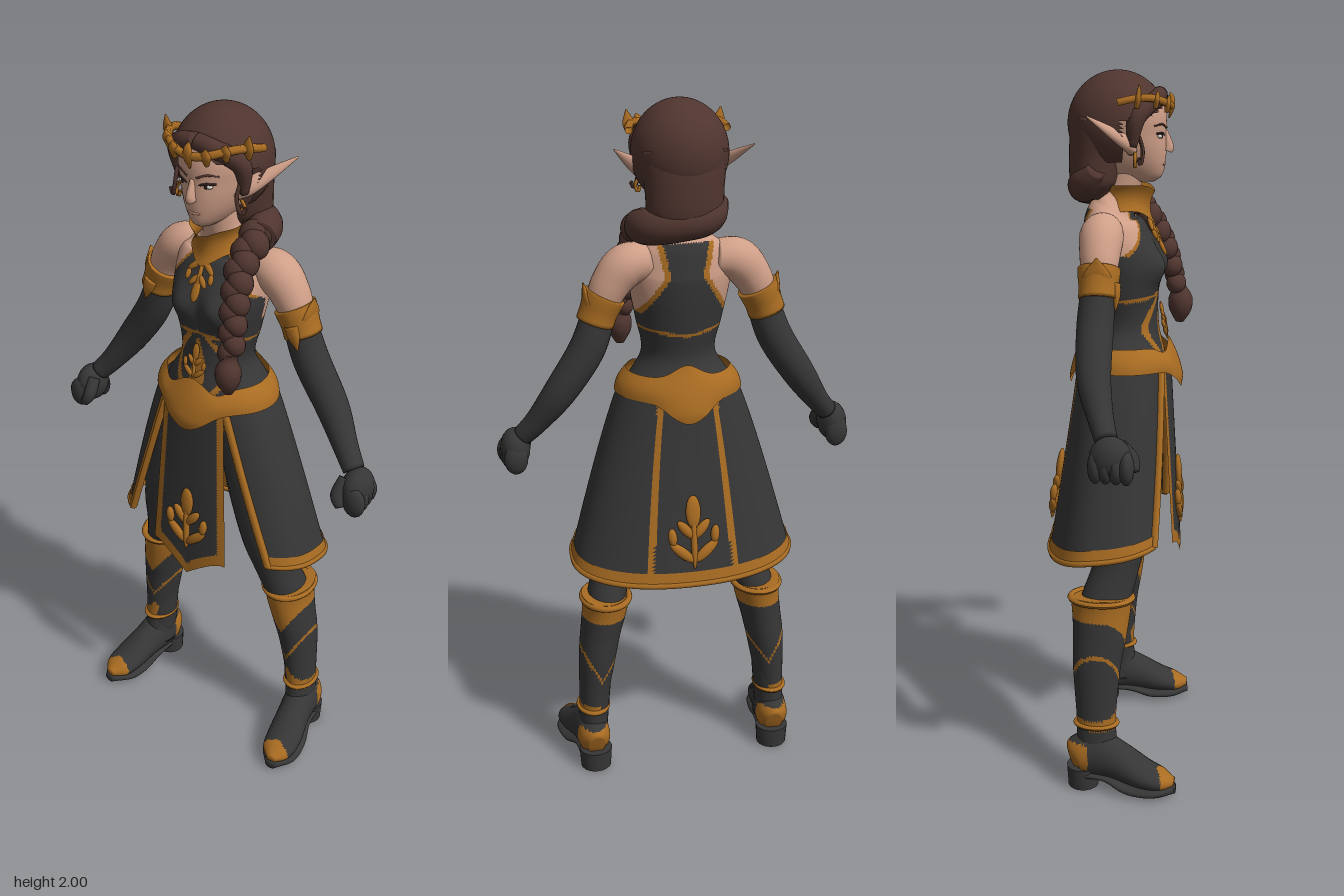
import * as THREE from 'three';
import { mergeVertices } from 'three/addons/utils/BufferGeometryUtils.js';

const V = (x, y, z) => new THREE.Vector3(x, y, z);
const mat = (name, color, side = THREE.FrontSide) => {
  const m = new THREE.MeshStandardMaterial({ color, side });
  m.name = name;
  return m;
};

// Surface from a rule fn(u, v), both 0..1
function grid(nu, nv, fn) {
  const pos = [], idx = [];
  for (let j = 0; j <= nv; j++) for (let i = 0; i <= nu; i++) pos.push(...fn(i / nu, j / nv).toArray());
  for (let j = 0; j < nv; j++) for (let i = 0; i < nu; i++) {
    const a = j * (nu + 1) + i, b = a + nu + 1;
    idx.push(a, b, a + 1, a + 1, b, b + 1);
  }
  let g = new THREE.BufferGeometry();
  g.setAttribute('position', new THREE.Float32BufferAttribute(pos, 3));
  g.setIndex(idx);
  g = mergeVertices(g, 1e-5);
  g.computeVertexNormals();
  return g;
}

// Closed oval skin along points [x, y, z, side radius, front radius]
function loft(pts, nu = 24, nv = 24, ref = V(0, 0, 1)) {
  const path = new THREE.CatmullRomCurve3(pts.map(p => V(p[0], p[1], p[2])), false, 'catmullrom');
  const radii = new THREE.CatmullRomCurve3(pts.map(p => V(p[3], p[4] ?? p[3], 0)), false, 'catmullrom');
  const rows = nv + 2;
  return grid(nu, rows, (u, v) => {
    const j = Math.round(v * rows), t = THREE.MathUtils.clamp((j - 1) / nv, 0, 1);
    const k = j === 0 || j === rows ? 0 : 1, a = (u % 1) * Math.PI * 2;
    const tan = path.getTangent(t), side = tan.clone().cross(ref).normalize();
    const front = side.clone().cross(tan), r = radii.getPoint(t);
    return path.getPoint(t).addScaledVector(side, k * r.x * Math.cos(a)).addScaledVector(front, k * r.y * Math.sin(a));
  });
}

const ball = (x, y, z, rx, ry = rx, rz = rx) => new THREE.SphereGeometry(1, 16, 10).scale(rx, ry, rz).translate(x, y, z);
const tube = (pts, r, n = 40) => new THREE.TubeGeometry(new THREE.CatmullRomCurve3(pts), n, r, 6);

// Sort faces into material groups by a rule on the face centre; -1 removes the face
function paint(g, count, rule) {
  const p = g.attributes.position, ix = g.index.array, sets = Array.from({ length: count }, () => []);
  for (let i = 0; i < ix.length; i += 3) {
    const c = V(0, 0, 0);
    for (let k = 0; k < 3; k++) c.add(V(0, 0, 0).fromBufferAttribute(p, ix[i + k]).divideScalar(3));
    const m = rule(c.x, c.y, c.z);
    if (m >= 0) sets[m].push(ix[i], ix[i + 1], ix[i + 2]);
  }
  g.setIndex(sets.flat());
  g.clearGroups();
  let s = 0;
  sets.forEach((q, m) => { g.addGroup(s, q.length, m); s += q.length; });
  return g;
}

function mirrored(geo) {
  const g = geo.clone().scale(-1, 1, 1), ix = g.index.array;
  for (let i = 0; i < ix.length; i += 3) [ix[i], ix[i + 1]] = [ix[i + 1], ix[i]];
  g.computeVertexNormals();
  return g;
}

export function createModel() {
  const root = new THREE.Group();
  const cloth = mat('charcoal cloth', 0x363636, THREE.DoubleSide), gold = mat('bronze trim', 0xa96c22, THREE.DoubleSide);
  const skin = mat('skin', 0xcf9f88), hair = mat('brown hair', 0x50352f, THREE.DoubleSide);
  const lip = mat('lips', 0xb98370), white = mat('eye white', 0xd8d0c8), dark = mat('dark lashes', 0x2a1e1c);
  const add = (name, g, m) => {
    const mesh = new THREE.Mesh(g, m);
    mesh.name = name;
    root.add(mesh);
    return mesh;
  };
  const pair = (name, g, m) => { add('left ' + name, g, m); add('right ' + name, mirrored(g), m); };
  const lerp = THREE.MathUtils.lerp, clamp = THREE.MathUtils.clamp;

  // Torso with halter bodice, racer back and corset lines
  const torso = loft([[0, 1.05, 0, .17, .11], [0, 1.2, .015, .16, .12], [0, 1.3, .02, .106, .095], [0, 1.4, .012, .122, .1], [0, 1.48, .005, .138, .104],
    [0, 1.55, -.01, .143, .096], [0, 1.6, -.02, .128, .075], [0, 1.635, -.012, .085, .06], [0, 1.67, .005, .052, .05], [0, 1.74, .025, .048, .05]], 96, 120);
  const tp = torso.attributes.position;
  for (let i = 0; i < tp.count; i++) if (tp.getZ(i) > 0) {
    const swell = Math.exp(-(((Math.abs(tp.getX(i)) - .062) / .05) ** 2) - ((tp.getY(i) - 1.475) / .055) ** 2);
    tp.setZ(i, tp.getZ(i) + .034 * swell * Math.min(1, tp.getZ(i) / .04));
  }
  torso.computeVertexNormals();
  add('torso', paint(torso, 3, (x, y, z) => {
    const ax = Math.abs(x);
    if (y > 1.63) return 0;
    const edge = z > 0 ? lerp(.14, .055, clamp((y - 1.51) / .1, 0, 1))
      : y < 1.54 ? lerp(.15, .06, clamp((y - 1.4) / .14, 0, 1)) : lerp(.06, .08, (y - 1.54) / .09);
    if (y > (z > 0 ? 1.5 : 1.42) && ax > edge) return 0;
    if (y > (z > 0 ? 1.51 : 1.43) && ax > edge - (z > 0 ? .009 : .016)) return 2;
    if (z > 0 && y < 1.4) {
      const f = .03 + .05 * Math.abs(Math.sin((y - 1.2) * 17));
      if (Math.abs(ax - f) < .01 || ax < .022 * clamp((1.39 - y) / .08, 0, 1)) return 2;
    }
    return Math.abs(y - 1.385 - .15 * (.1 - ax) * (z > 0 ? 1 : -1)) < .005 ? 2 : 1;
  }), [skin, cloth, gold]);

  // Collar with front point
  add('collar', grid(48, 6, (u, v) => {
    const a = u * Math.PI * 2, dip = Math.pow(Math.max(0, Math.cos(a)), 6), y = lerp(1.625 - .035 * dip, 1.695 - .02 * dip, v);
    const r = .056 + .05 * (v - .45) ** 2 + .012 * (1 - v);
    return V(r * Math.sin(a), y, .008 + .022 * v + (r + .014 * dip * (1 - v)) * Math.cos(a));
  }), gold);

  // Bronze leaf sprig, standing in its own xy plane
  function sprig(name, x, y, z, s, rotX = 0, rotY = 0) {
    const g = new THREE.Group();
    g.name = name;
    const leaf = (lx, ly, rot, len, w) => {
      const m = new THREE.Mesh(ball(0, len / 2, 0, w, len / 2, .05), gold);
      m.name = 'leaf';
      m.position.set(lx, ly, 0);
      m.rotation.z = rot;
      g.add(m);
    };
    leaf(0, 0, 0, .75, .045); leaf(0, .55, 0, .45, .1);
    for (const k of [-1, 1]) { leaf(0, .1, -k * .85, .42, .07); leaf(k * .27, .34, -k * .1, .24, .06); leaf(0, .42, -k * .7, .32, .065); }
    g.scale.set(s, s, s);
    g.position.set(x, y, z);
    g.rotation.set(rotX, rotY, 0);
    root.add(g);
  }
  sprig('chest emblem', 0, 1.615, .078, .13, Math.PI - .45);
  sprig('corset emblem', 0, 1.26, .14, .11, -.2);
  sprig('front panel sprig', 0, .71, .183, .21, -.05);
  sprig('back skirt sprig', 0, .71, -.2, .22, .16, Math.PI);

  // Belt dipping to a point in front and a tab behind
  add('belt', grid(96, 10, (u, v) => {
    const a = u * Math.PI * 2, b = Math.min(a, 2 * Math.PI - a);
    const f = Math.exp(-((b / .4) ** 2)), k = Math.exp(-(((Math.PI - b) / .35) ** 2)), notch = Math.exp(-(((b - .5) / .25) ** 2));
    const y = lerp(1.19 - .065 * f - .06 * k, 1.255 + .035 * k + .015 * f - .02 * notch, v), t = clamp((y - 1.19) / .09, -.4, 1);
    const bulge = .008 * Math.sin(v * Math.PI);
    return V((lerp(.184, .135, t) + bulge) * Math.sin(a), y, .022 + (lerp(.147, .117, t) + bulge) * Math.cos(a));
  }), gold);

  // Skirt, open at the front
  const skirtPoint = (u, v) => {
    const a0 = .47 + .31 * v, a = lerp(a0, 2 * Math.PI - a0, u), s = Math.sin(a), c = Math.cos(a);
    const pw = n => Math.sign(n) * Math.abs(n) ** (c > 0 ? .75 : .9);
    const depth = c > 0 ? lerp(.125, .2, v) : lerp(.125, .163, v ** 1.2);
    return V((.165 + .16 * v ** .85) * pw(s), lerp(1.21, .695 + .035 * c, v), lerp(.012, -.032, v) + depth * pw(c));
  };
  add('skirt', paint(grid(120, 50, skirtPoint), 2, (x, y, z) => {
    const t = (1.21 - y) / .5;
    return z < -.04 && Math.abs(Math.abs(x) - .075 - .05 * t) < .009 ? 1 : 0;
  }), [cloth, gold]);
  const line = f => Array.from({ length: 33 }, (_, i) => f(i / 32));
  add('skirt hem band', grid(96, 2, (u, v) => { const p = skirtPoint(u, .93 + .075 * v); p.x *= 1.012; p.z *= 1.02; return p; }), gold);
  add('skirt hem roll', tube(line(t => skirtPoint(t, 1)), .009, 96), gold);
  pair('skirt front edge', tube(line(t => skirtPoint(0, t)), .012), gold);

  // Front panel with scalloped pointed hem
  add('front panel', paint(grid(48, 60, (u, v) => {
    const s = u * 2 - 1, q = Math.abs(s);
    return V(s * (.1 + .03 * v), 1.2 - v * (.5 + .08 * (1 - q) ** 1.3 + .012 * q ** 6), .15 + .033 * v - .015 * s * s);
  }), 2, (x, y) => {
    const q = Math.abs(x) / (.1 + .06 * (1.2 - y));
    return q > .81 || y < .735 - .08 * Math.max(0, 1 - q) ** 1.3 ? 1 : 0;
  }), [cloth, gold]);

  // Arms, cuffs and fists
  pair('arm', paint(loft([[.09, 1.575, -.03, .05], [.155, 1.565, -.03, .06], [.2, 1.515, -.03, .054], [.228, 1.45, -.03, .047], [.268, 1.34, -.035, .05],
    [.345, 1.22, -.03, .046], [.408, 1.13, -.005, .035], [.45, 1.08, .015, .03]], 24, 50), 2, (x, y) => (y > 1.45 ? 0 : 1)), [skin, cloth]);
  pair('arm cuff', loft([[.214, 1.487, -.03, .058], [.222, 1.47, -.03, .057], [.234, 1.44, -.03, .053], [.244, 1.412, -.03, .053]], 28, 10), gold);
  pair('cuff leaf', loft([[.25, 1.42, -.03, .014, .03], [.264, 1.475, -.03, .013, .038], [.274, 1.525, -.03, .002]], 12, 8), gold);
  pair('cuff lower leaf', loft([[.235, 1.45, .018, .022, .012], [.247, 1.42, .02, .018, .01], [.258, 1.385, .018, .002]], 12, 8), gold);
  pair('fist', ball(.472, 1.04, .028, .043, .058, .056), cloth);
  for (let i = 0; i < 4; i++) pair('finger', ball(.487 - i * .004, 1.018, .07 - i * .027, .034, .045, .021), cloth);
  pair('thumb', loft([[.445, 1.07, .05, .018], [.44, 1.03, .08, .019], [.455, 1.0, .09, .012]], 12, 8), cloth);

  // Legs and boots
  pair('leg', loft([[.28, .1, -.035, .04, .05], [.262, .38, -.035, .048, .06], [.236, .52, -.02, .056, .07], [.205, .64, .012, .06, .066],
    [.18, .76, .025, .076, .082], [.14, .95, .02, .09, .1], [.1, 1.12, .01, .085, .1]], 24, 40), cloth);
  pair('boot shaft', paint(loft([[.282, .08, -.03, .046, .062], [.28, .2, -.035, .042, .056], [.264, .36, -.035, .055, .068],
    [.25, .45, -.028, .06, .076], [.237, .52, -.025, .066, .083], [.232, .565, -.025, .072, .088]], 48, 72), 2, (x, y, z) => {
    const d = Math.abs(x - .287 + .09 * y), v = z > -.02 ? Math.max(0, 1 - d / .06) : 0;
    if (y > .505 - .09 * v) return 1;
    if (y > .185 && y < .215 + .05 * v * v) return 1;
    return Math.abs(y - .36 - 1.6 * (d - .035)) < .006 && y < .46 ? 1 : 0;
  }), [cloth, gold]);
  const ring = (r, thick, depth, x, y, z) => new THREE.TorusGeometry(r, thick, 8, 32).rotateX(Math.PI / 2).scale(1, 1, depth).translate(x, y, z);
  pair('boot top rim', ring(.07, .009, 1.22, .232, .56, -.025), gold);
  pair('ankle ring', ring(.044, .007, 1.3, .28, .195, -.035), gold);
  const up = V(0, 1, 0);
  pair('shoe', paint(loft([[.282, .085, -.105, .025, .04], [.283, .095, -.08, .046, .06], [.287, .1, -.03, .05, .072], [.297, .085, .03, .05, .056],
    [.312, .058, .1, .054, .04], [.32, .045, .155, .046, .028], [.324, .042, .192, .014, .012]], 32, 48, up), 2, (x, y, z) =>
    (z > .143 + .3 * Math.abs(x - .32) && y > .03) || (z < -.055 && y > .05 && y < .14) ? 1 : 0), [cloth, gold]);
  pair('sole', loft([[.284, .045, -.08, .045, .014], [.292, .04, 0, .046, .014], [.308, .018, .07, .056, .017], [.319, .018, .14, .055, .018], [.325, .022, .195, .018, .014]], 20, 20, up), cloth);
  pair('heel', new THREE.CylinderGeometry(.05, .046, .062, 20).scale(1, 1, .95).translate(.282, .031, -.073), cloth);

  // Head and face
  add('head', loft([[0, 1.702, .03, .025, .07], [0, 1.718, .03, .043, .09], [0, 1.75, .03, .064, .099], [0, 1.79, .03, .079, .102],
    [0, 1.83, .03, .087, .101], [0, 1.88, .03, .092, .102], [0, 1.92, .02, .08, .09], [0, 1.95, .01, .04, .05]], 36, 36), skin);
  add('nose', loft([[0, 1.785, .133, .013, .014], [0, 1.797, .136, .012, .016], [0, 1.84, .126, .007, .008]], 14, 10), skin);
  add('mouth', ball(0, 1.749, .124, .02, .005, .007), lip);
  pair('eye', ball(.036, 1.825, .115, .017, .006, .008), white);
  pair('iris', ball(.036, 1.825, .12, .006, .006, .005), dark);
  pair('lash', tube([V(.016, 1.827, .126), V(.036, 1.833, .122), V(.058, 1.832, .106)], .0035, 10), dark);
  pair('eyebrow', tube([V(.014, 1.847, .131), V(.04, 1.857, .122), V(.064, 1.853, .101)], .003, 10), hair);
  pair('ear', loft([[.075, 1.785, .045, .012, .014], [.1, 1.81, .03, .022, .016], [.14, 1.843, -.012, .016, .01], [.188, 1.882, -.065, .002]], 16, 16), skin);
  pair('earring', tube([V(.098, 1.785, .055), V(.11, 1.765, .055), V(.103, 1.745, .055), V(.097, 1.762, .055)], .005, 12), gold);

  // Hair cap, back hair, face locks and nape roll
  add('hair cap', paint(new THREE.SphereGeometry(1, 60, 44).scale(.132, .142, .138).translate(0, 1.858, -.002), 1, (x, y, z) =>
    (z > .02 && y < 1.915 - .35 * Math.abs(x)) || y < 1.76 ? -1 : 0), [hair]);
  add('back hair', loft([[0, 1.655, -.06, .06, .04], [0, 1.7, -.065, .1, .068], [0, 1.78, -.06, .108, .077], [0, 1.87, -.045, .12, .085]], 32, 20), hair);
  pair('front hair', loft([[0, 1.935, .112, .022, .022], [.05, 1.922, .105, .025, .022], [.1, 1.88, .06, .026, .026], [.102, 1.8, .045, .01, .014]], 16, 20), hair);
  pair('side curl', tube([V(.1, 1.84, .06), V(.098, 1.79, .075), V(.11, 1.755, .07), V(.12, 1.77, .065)], .006, 20), hair);
  add('nape roll', loft([[-.1, 1.74, -.05, .025], [-.06, 1.7, -.085, .045], [.02, 1.685, -.09, .048], [.09, 1.675, -.06, .05], [.115, 1.665, 0, .045]], 20, 30, up), hair);

  // Braid of overlapping strands with a tied tail
  const braid = new THREE.CatmullRomCurve3([V(.09, 1.68, -.05), V(.11, 1.665, .01), V(.11, 1.61, .07), V(.128, 1.51, .125), V(.14, 1.4, .155)]);
  for (let i = 0; i < 15; i++) {
    const p = braid.getPointAt(i / 14), k = i % 2 ? 1 : -1, r = .048 - .001 * i;
    const m = add('braid strand', ball(0, 0, 0, r * .85, r * .95, r * .85), hair);
    m.position.set(p.x + k * .009, p.y, p.z);
    m.rotation.z = k * .5;
  }
  add('braid tail', loft([[.14, 1.285, .165, .012], [.14, 1.32, .167, .032], [.14, 1.355, .167, .035], [.14, 1.385, .162, .022], [.14, 1.4, .158, .024]], 20, 16), hair);

  // Leaf tiara
  add('tiara band', tube(line(t => {
    const a = lerp(-1.5, 1.5, t);
    return V(.134 * Math.sin(a), 1.928 - .022 * Math.cos(a * 1.6) ** 2, .143 * Math.cos(a));
  }), .011, 60), gold);
  add('tiara centre leaf', loft([[0, 1.872, .138, .002], [0, 1.9, .146, .014, .007], [0, 1.925, .146, .012, .007], [0, 1.94, .14, .002]], 12, 12), gold);
  for (const [x, y, z, h] of [[.05, 1.908, .134, .025], [.09, 1.92, .107, .025], [.125, 1.92, .06, .042]])
    pair('tiara leaf', loft([[x, y - .02, z, .006], [x, y + h * .2, z + .005, .016, .008], [x * 1.04, y + h, z + .008, .002]], 10, 10), gold);

  return root;
}
